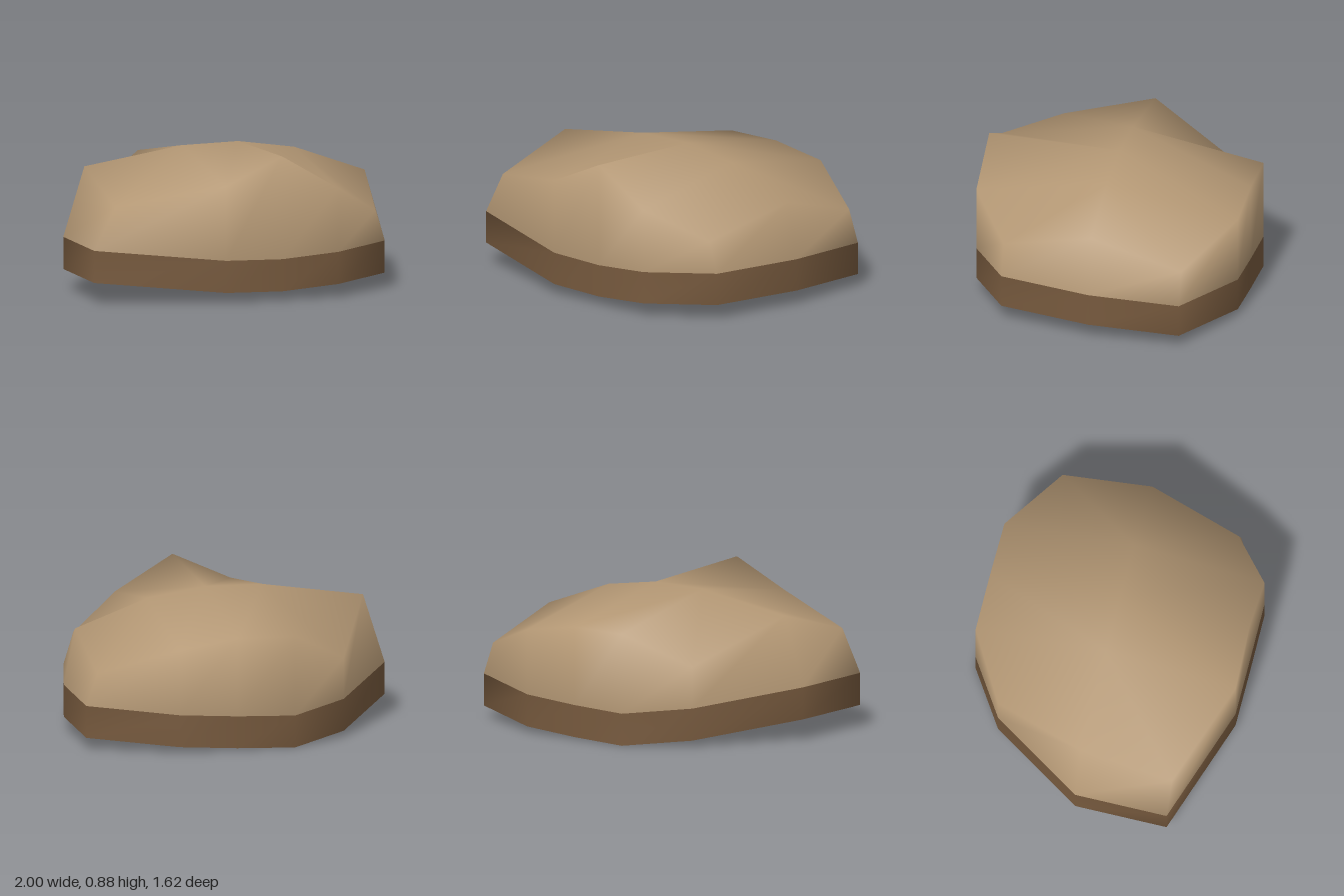
import * as THREE from 'three';

// Outline columns, counter-clockwise from above: [x, z, seam height, rim x, rim height]
const columns = [
  [-1, 0, 0.325, -0.865, 0.75],
  [-1, 0.57, 0.33, -0.865, 0.59],
  [-0.24, 0.81, 0.265, -0.24, 0.72],
  [0.12, 0.81, 0.255, 0.12, 0.885],
  [0.48, 0.81, 0.28, 0.48, 0.67],
  [0.86, 0.57, 0.29, 0.8, 0.48],
  [1, 0, 0.285, 0.93, 0.63],
  [1, -0.56, 0.268, 0.93, 0.465],
  [0.48, -0.81, 0.235, 0.48, 0.634],
  [0.12, -0.81, 0.21, 0.12, 0.69],
  [-0.24, -0.81, 0.197, -0.24, 0.685],
  [-0.6, -0.58, 0.235, -0.6, 0.49],
];
const n = columns.length;
const bandHeight = 0.197;

function surface(points, faces) {
  const g = new THREE.BufferGeometry();
  g.setAttribute('position', new THREE.Float32BufferAttribute(points.flat(), 3));
  // Each convex face is split into a fan of triangles
  const index = faces.flatMap((f) => f.slice(2).flatMap((v, i) => [f[0], f[i + 1], v]));
  g.setIndex(index);
  g.computeVertexNormals();
  return g;
}

// Side faces between a lower ring (0..n-1) and an upper ring (n..2n-1)
const sideFaces = columns.map((_, i) => {
  const j = (i + 1) % n;
  return [i, j, n + j, n + i];
});

export function createModel() {
  const group = new THREE.Group();
  const tan = new THREE.MeshStandardMaterial({ color: 0xb39774 });
  tan.name = 'tan';
  const brown = new THREE.MeshStandardMaterial({ color: 0x775a3e });
  brown.name = 'brown';

  const add = (name, geometry, material) => {
    const mesh = new THREE.Mesh(geometry, material);
    mesh.name = name;
    group.add(mesh);
  };

  const seam = columns.map(([x, z, y]) => [x, y, z]);
  const base = columns.map(([x, z, y]) => [x, y - bandHeight, z]);
  const rim = columns.map(([, z, , x, y]) => [x, y, z]);

  // Rounded upper body: sloping sides and a top with a ridge across the middle
  const ridge = [[-0.24, 0.845, 0], [0.12, 0.85, 0], [0.48, 0.795, 0]];
  const r = (i) => n + i;
  const [a, b, c] = [2 * n, 2 * n + 1, 2 * n + 2];
  const topFaces = [
    [a, r(0), r(1), r(2)],
    [b, a, r(2), r(3)],
    [b, r(3), r(4), c],
    [c, r(4), r(5), r(6)],
    [c, r(6), r(7), r(8)],
    [b, c, r(8), r(9)],
    [a, b, r(9), r(10)],
    [a, r(10), r(11), r(0)],
  ];
  add('upperBody', surface([...seam, ...rim, ...ridge], [...sideFaces, ...topFaces]), tan);

  // Darker band around the foot
  add('lowerBand', surface([...base, ...seam], sideFaces), brown);

  // Underside
  const bottomFaces = columns.map((_, i) => [n, (i + 1) % n, i]);
  add('underside', surface([...base, [0, 0.065, 0]], bottomFaces), brown);

  return group;
}
